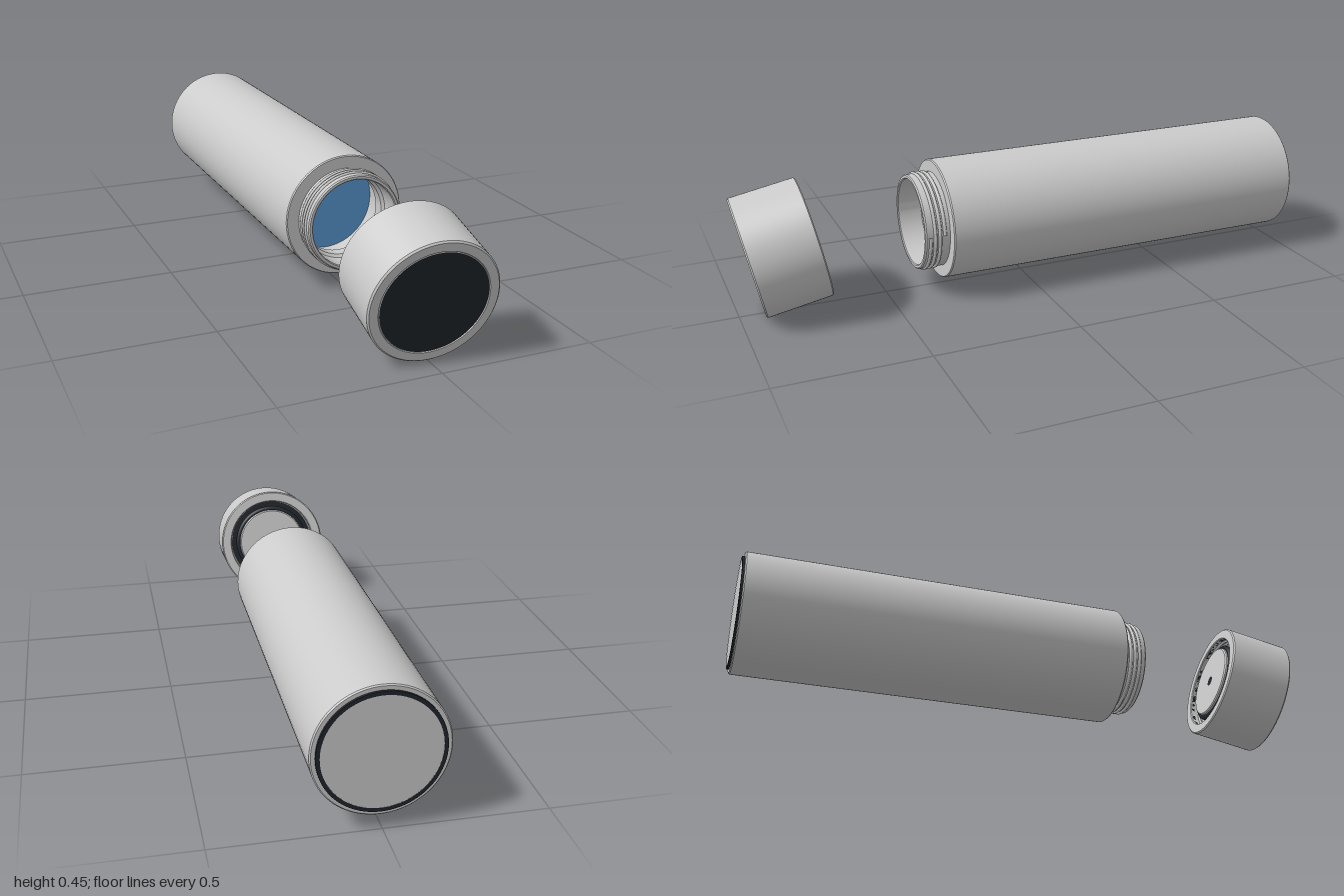
import * as THREE from 'three';
import { toCreasedNormals } from 'three/addons/utils/BufferGeometryUtils.js';

const paint = (color) => new THREE.MeshStandardMaterial({ color });
const grey = paint(0xcccccc);
const black = paint(0x20262c);
const blue = paint(0x5a9bd5);

// Turned part about the z axis; profile is [radius, z], outside listed back to front
function turned(name, profile, material = grey) {
  const points = profile.map(([r, z]) => new THREE.Vector2(r, z));
  const geometry = new THREE.LatheGeometry(points, 96).rotateX(Math.PI / 2);
  const mesh = new THREE.Mesh(toCreasedNormals(geometry, 0.5), material);
  mesh.name = name;
  return mesh;
}

// Flat disc facing along +z (dir 1) or -z (dir -1)
function disc(name, radius, z, dir, material) {
  const mesh = new THREE.Mesh(new THREE.CircleGeometry(radius, 96), material);
  mesh.name = name;
  mesh.position.z = z;
  if (dir < 0) mesh.rotation.y = Math.PI;
  return mesh;
}

// Helical screw ridge
function thread(name, radius, z0, z1, turns, thickness) {
  const points = [];
  const n = turns * 32;
  for (let i = 0; i <= n; i++) {
    const a = (i / 32) * Math.PI * 2;
    points.push(new THREE.Vector3(radius * Math.cos(a), radius * Math.sin(a), z0 + (z1 - z0) * i / n));
  }
  const path = new THREE.CatmullRomCurve3(points);
  const mesh = new THREE.Mesh(new THREE.TubeGeometry(path, n * 2, thickness, 8), grey);
  mesh.name = name;
  return mesh;
}

function createBottle() {
  const bottle = new THREE.Group();
  bottle.name = 'bottle';
  bottle.position.set(0.005, 0.249, 0);

  // Outer wall, shoulder, neck, mouth and inner wall in one profile
  bottle.add(turned('bottleShell', [
    [0, -0.992], [0.2, -0.992], [0.204, -0.988],
    [0.204, 0.316], [0.201, 0.32], [0.162, 0.32],
    [0.162, 0.401], [0.158, 0.405], [0.15, 0.405], [0.147, 0.402],
    [0.147, 0.32], [0.138, 0.31], [0.138, 0.27],
    [0.165, 0.24], [0.165, 0.1], [0, 0.1],
  ]));
  bottle.add(thread('neckThread', 0.162, 0.338, 0.388, 3, 0.006));
  bottle.add(disc('water', 0.165, 0.17, 1, blue));

  // Base: dark foot ring around a grey plate
  bottle.add(turned('footRing', [
    [0.176, -1], [0.188, -1], [0.188, -0.99],
  ], black));
  bottle.add(disc('basePlate', 0.176, -0.9995, -1, grey));
  return bottle;
}

function createCap() {
  const cap = new THREE.Group();
  cap.name = 'cap';
  const back = -0.113, front = 0.113;

  // Skirt with a recessed socket at the back and a seat for the display in front
  cap.add(turned('capShell', [
    [0.166, back + 0.08], [0.166, back + 0.003], [0.169, back],
    [0.2, back], [0.204, back + 0.004],
    [0.204, front - 0.005], [0.199, front], [0.172, front],
    [0.17, front - 0.003], [0, front - 0.003],
  ]));
  cap.add(disc('display', 0.168, front - 0.001, 1, black));
  cap.add(thread('capThread', 0.166, back + 0.02, back + 0.065, 3, 0.005));

  // Plug in the socket, with its seal
  cap.add(turned('socketFloor', [[0.125, back + 0.078], [0.166, back + 0.078]], black));
  cap.add(turned('socketLiner', [[0.166, back + 0.016], [0.166, back + 0.006], [0.158, back + 0.006]], black));
  cap.add(turned('plug', [
    [0, back + 0.002], [0.126, back + 0.002], [0.13, back + 0.006], [0.13, back + 0.08],
  ]));
  const seal = new THREE.Mesh(new THREE.TorusGeometry(0.134, 0.011, 12, 96), black);
  seal.name = 'plugSeal';
  seal.position.z = back + 0.022;
  cap.add(seal);
  cap.add(disc('sensorPort', 0.018, back + 0.001, -1, black));

  // The cap is off the bottle and tips forward
  cap.position.set(-0.002, 0.226, 0.847);
  cap.lookAt(-0.002 - 0.012, 0.226 - 0.047, 0.847 + 0.22);
  return cap;
}

export function createModel() {
  const model = new THREE.Group();
  model.name = 'openFlask';
  model.add(createBottle(), createCap());
  return model;
}
